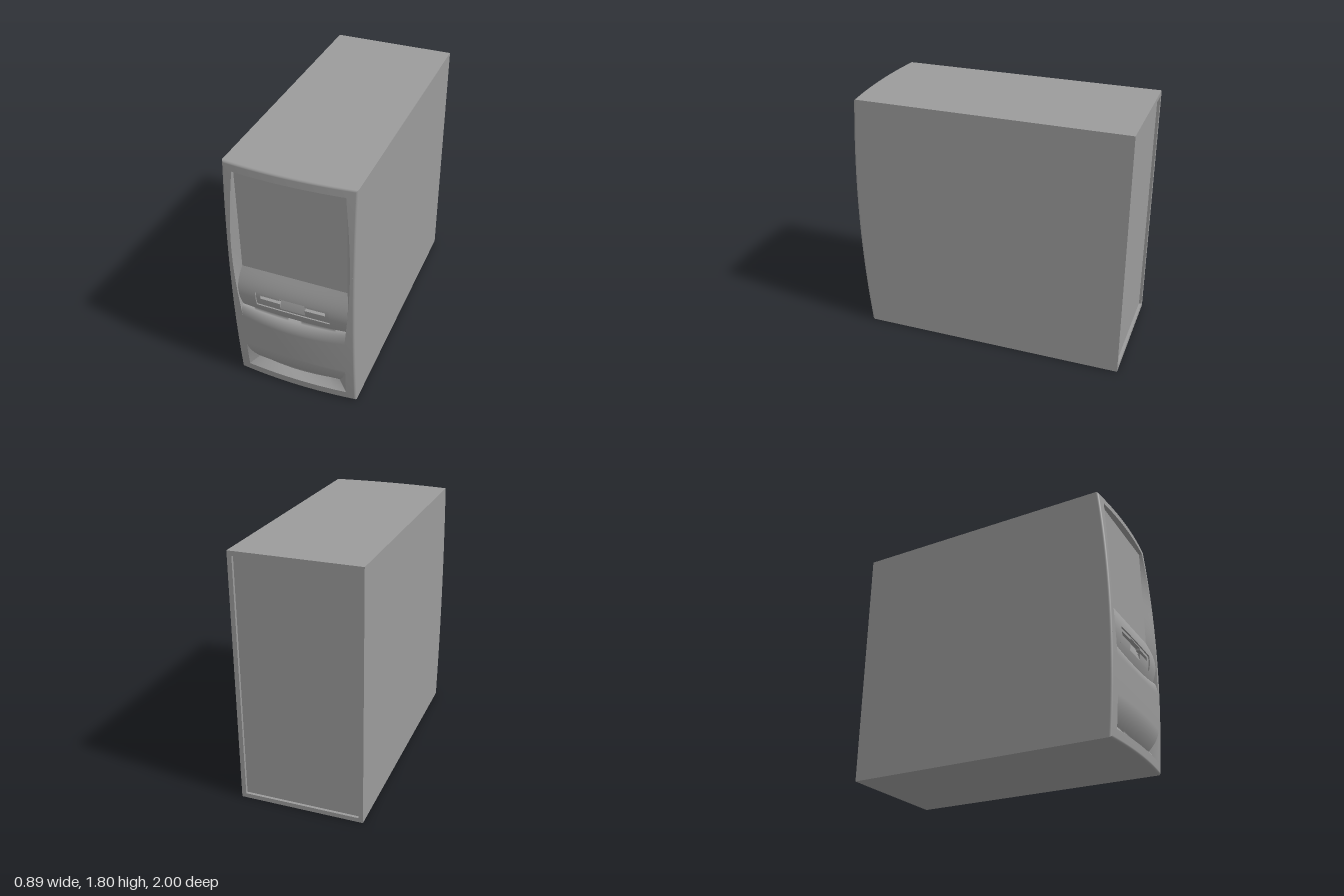
import * as THREE from 'three';
import { ParametricGeometry } from 'three/addons/geometries/ParametricGeometry.js';

const W = 0.445, H = 1.8, R = 0.015;   // half width, height, front edge radius
const BAY_Z = 0.925, BAY_X = 0.375, BAY_TOP = 1.74, BAY_BOTTOM = 0.98;
const BACK = -0.96;                    // where the back frame begins
const { lerp, clamp } = THREE.MathUtils;
const material = new THREE.MeshStandardMaterial({ color: 0x9b9b9b, side: THREE.DoubleSide });

// Doubly curved outer face of the front
const face = (x, y) => 0.935 + 0.045 * (1 - ((y - 0.9) / 0.9) ** 2) + 0.027 * (1 - (x / W) ** 2);
// Half width of the upper opening, widest at mid height
const opening = y => BAY_X + 0.037 * Math.sin(Math.PI * clamp((BAY_TOP - y) / (BAY_TOP - 0.57), 0, 1));
// Swelling face of the floppy drive section
const drive = (x, y) => BAY_Z + (0.051 + 0.008 * (1 - (x / 0.4) ** 2)) * Math.sin(Math.PI * 0.91 * (BAY_BOTTOM - y) / 0.35);
// Seam between drive section and lower cover
const seam = x => 0.63 + 0.03 * (x / BAY_X) ** 2;
// Lower cover: rolls in at the seam, scoops in at the bottom
const SCOOP = 0.3;
const cover = (x, y) => {
  const top = seam(x), t = clamp((top - y) / 0.09, 0, 1);
  const roll = (face(x, top) - drive(x, top)) * (1 - Math.sqrt(t * (2 - t)));
  return face(x, y) - roll - 0.06 * clamp((SCOOP - y) / 0.175, 0, 1) ** 2;
};
const coverHalf = y => y > SCOOP ? opening(y) : BAY_X - 0.065 * ((SCOOP - y) / (SCOOP - 0.135)) ** 1.5;
const coverBottom = x => 0.11 + 0.025 * (x / 0.31) ** 2;

function add(group, name, geometry) {
  const mesh = new THREE.Mesh(geometry, material);
  mesh.name = name;
  group.add(mesh);
  return mesh;
}

const fn = f => typeof f === 'function' ? f : () => f;

// Height-field patch: x limits may depend on y, y limits may depend on x
function surface(group, name, x0, x1, y0, y1, z, nu = 24, nv = 24, yRef = 0.65) {
  [x0, x1, y0, y1] = [x0, x1, y0, y1].map(fn);
  return add(group, name, new ParametricGeometry((u, v, p) => {
    const xs = lerp(x0(yRef), x1(yRef), u);
    const y = lerp(y0(xs), y1(xs), v);
    const x = lerp(x0(y), x1(y), u);
    p.set(x, y, z(x, y));
  }, nu, nv));
}

// Ruled strip between two curves, each giving [x, y, z]
function ruled(group, name, a, b, n = 24) {
  const A = new THREE.Vector3(), B = new THREE.Vector3();
  return add(group, name, new ParametricGeometry((u, v, p) => {
    p.lerpVectors(A.set(...a(u)), B.set(...b(u)), v);
  }, n, 2));
}

// Walls of a recess that follows the drive face, along a closed outline
function recessWalls(group, name, points, d0, d1) {
  points.forEach(([ax, ay], i) => {
    const [bx, by] = points[(i + 1) % points.length];
    const edge = d => t => {
      const x = lerp(ax, bx, t), y = lerp(ay, by, t);
      return [x, y, drive(x, y) - d];
    };
    ruled(group, name, edge(d0), edge(d1), 8);
  });
}

function buildCase(group) {
  // Four case walls whose front edges follow the curved face and roll over
  const wall = (name, place) => add(group, name, new ParametricGeometry((u, v, p) => {
    const angle = clamp((v - 0.2) / 0.8, 0, 1) * Math.PI / 2;
    const inset = R * (1 - Math.cos(angle));
    const [x, y] = place(u, inset);
    const front = face(x, y) - R + R * Math.sin(angle);
    p.set(x, y, v < 0.2 ? lerp(BACK, front, v / 0.2) : front);
  }, 32, 10));
  wall('leftSide', (u, i) => [W - i, lerp(H - i, i, u)]);
  wall('rightSide', (u, i) => [i - W, lerp(i, H - i, u)]);
  wall('topSide', (u, i) => [lerp(i - W, W - i, u), H - i]);
  wall('bottomSide', (u, i) => [lerp(W - i, i - W, u), i]);

  // Back frame and its recessed panel
  const rect = (path, x, y0, y1) => path.moveTo(-x, y0).lineTo(x, y0).lineTo(x, y1).lineTo(-x, y1).closePath();
  const frame = rect(new THREE.Shape(), W, 0, H);
  frame.holes.push(rect(new THREE.Path(), W - 0.032, 0.032, H - 0.032));
  add(group, 'backFrame', new THREE.ExtrudeGeometry(frame, { depth: BACK + 1, bevelEnabled: false })).position.z = -1;
  const panel = add(group, 'backPanel', new THREE.PlaneGeometry(2 * W - 0.06, H - 0.06));
  panel.position.set(0, H / 2, -0.98);
  panel.rotation.y = Math.PI;
}

function buildFascia(group) {
  for (const s of [-1, 1]) {
    const inner = y => s * opening(y), outer = s * (W - R);
    // Side rim and the slanted cheek inside the upper opening
    const rim = (y0, y1, n) => surface(group, 'sideRim', s < 0 ? outer : inner, s < 0 ? inner : outer, y0, y1, face, 6, n);
    rim(R, 0.56, 30);
    rim(0.56, BAY_TOP, 60);
    rim(BAY_TOP, H - R, 4);
    const cheekY = t => lerp(0.56, BAY_TOP, t);
    ruled(group, 'bayCheek',
      t => [inner(cheekY(t)), cheekY(t), face(inner(cheekY(t)), cheekY(t))],
      t => [s * BAY_X, cheekY(t), BAY_Z], 60);
    // Side wall of the bottom scoop
    const rimY = t => lerp(SCOOP, 0.07, t), lowY = t => lerp(SCOOP, 0.135, t);
    ruled(group, 'scoopCheek',
      t => [s * BAY_X, rimY(t), face(BAY_X, rimY(t))],
      t => [s * coverHalf(lowY(t)), lowY(t), cover(coverHalf(lowY(t)), lowY(t))]);
  }
  // Top rim with the underside that closes the bay
  surface(group, 'topRim', -BAY_X, BAY_X, BAY_TOP, H - R, face, 24, 4);
  const across = t => lerp(-BAY_X, BAY_X, t);
  ruled(group, 'bayCeiling',
    t => [across(t), BAY_TOP, face(across(t), BAY_TOP)], t => [across(t), BAY_TOP, BAY_Z]);
  surface(group, 'bayPanel', -BAY_X, BAY_X, BAY_BOTTOM, BAY_TOP, () => BAY_Z, 1, 1);

  // Lower cover, scoop shelf and bottom lip
  surface(group, 'lowerCover', y => -coverHalf(y), coverHalf, SCOOP, seam, cover, 40, 64);
  surface(group, 'coverScoop', y => -coverHalf(y), coverHalf, coverBottom, SCOOP, cover, 40, 24, 0.135);
  ruled(group, 'scoopShelf',
    t => {
      const x = lerp(-0.31, 0.31, t), y = coverBottom(x);
      return [x, y, cover(x, y)];
    },
    t => [across(t), 0.07, face(across(t), 0.07)], 40);
  surface(group, 'bottomLip', -BAY_X, BAY_X, R, 0.07, face, 40, 4);
}

function buildDrive(group) {
  const BX = 0.265, B0 = 0.705, B1 = 0.82;      // bezel
  const SX = 0.235, S0 = 0.768, S1 = 0.795;     // disk slot
  const NX = 0.09, N0 = 0.72, N1 = 0.81;        // finger notch
  const sunk = d => (x, y) => drive(x, y) - d;
  const LOW = 0.01, DEEP = 0.04;

  // Section face around the bezel
  surface(group, 'driveSection', y => -opening(y), -BX, seam, BAY_BOTTOM, drive, 8, 32);
  surface(group, 'driveSection', BX, opening, seam, BAY_BOTTOM, drive, 8, 32);
  surface(group, 'driveSection', -BX, BX, B1, BAY_BOTTOM, drive);
  surface(group, 'driveSection', -BX, BX, seam, B0, drive);

  // Bezel face around slot and notch
  const bezel = (x0, x1, y0, y1) => surface(group, 'driveBezel', x0, x1, y0, y1, sunk(LOW), 12, 4);
  bezel(-BX, BX, N1, B1);
  bezel(-BX, BX, B0, N0);
  for (const [near, far, slot] of [[-BX, -NX, [-BX, -SX]], [NX, BX, [SX, BX]]]) {
    bezel(near, far, S1, N1);
    bezel(near, far, N0, S0);
    bezel(slot[0], slot[1], S0, S1);
  }
  recessWalls(group, 'bezelWall', [[-BX, B0], [BX, B0], [BX, B1], [-BX, B1]], 0, LOW);

  // Slot floor, sloped finger notch and their walls
  for (const [x0, x1] of [[-SX, -NX], [NX, SX]]) surface(group, 'slotFloor', x0, x1, S0, S1, sunk(DEEP), 8, 2);
  surface(group, 'fingerNotch', -NX, NX, N0, N1,
    (x, y) => drive(x, y) - lerp(LOW, DEEP, clamp((y - N0) / (S1 - N0), 0, 1)), 8, 12);
  recessWalls(group, 'slotWall', [
    [-SX, S0], [-NX, S0], [-NX, N0], [NX, N0], [NX, S0], [SX, S0],
    [SX, S1], [NX, S1], [NX, N1], [-NX, N1], [-NX, S1], [-SX, S1],
  ], LOW, DEEP);
}

export function createModel() {
  const model = new THREE.Group();
  model.name = 'computerTower';
  for (const [name, build] of [['case', buildCase], ['frontFascia', buildFascia], ['floppyDrive', buildDrive]]) {
    const part = new THREE.Group();
    part.name = name;
    build(part);
    model.add(part);
  }
  return model;
}
